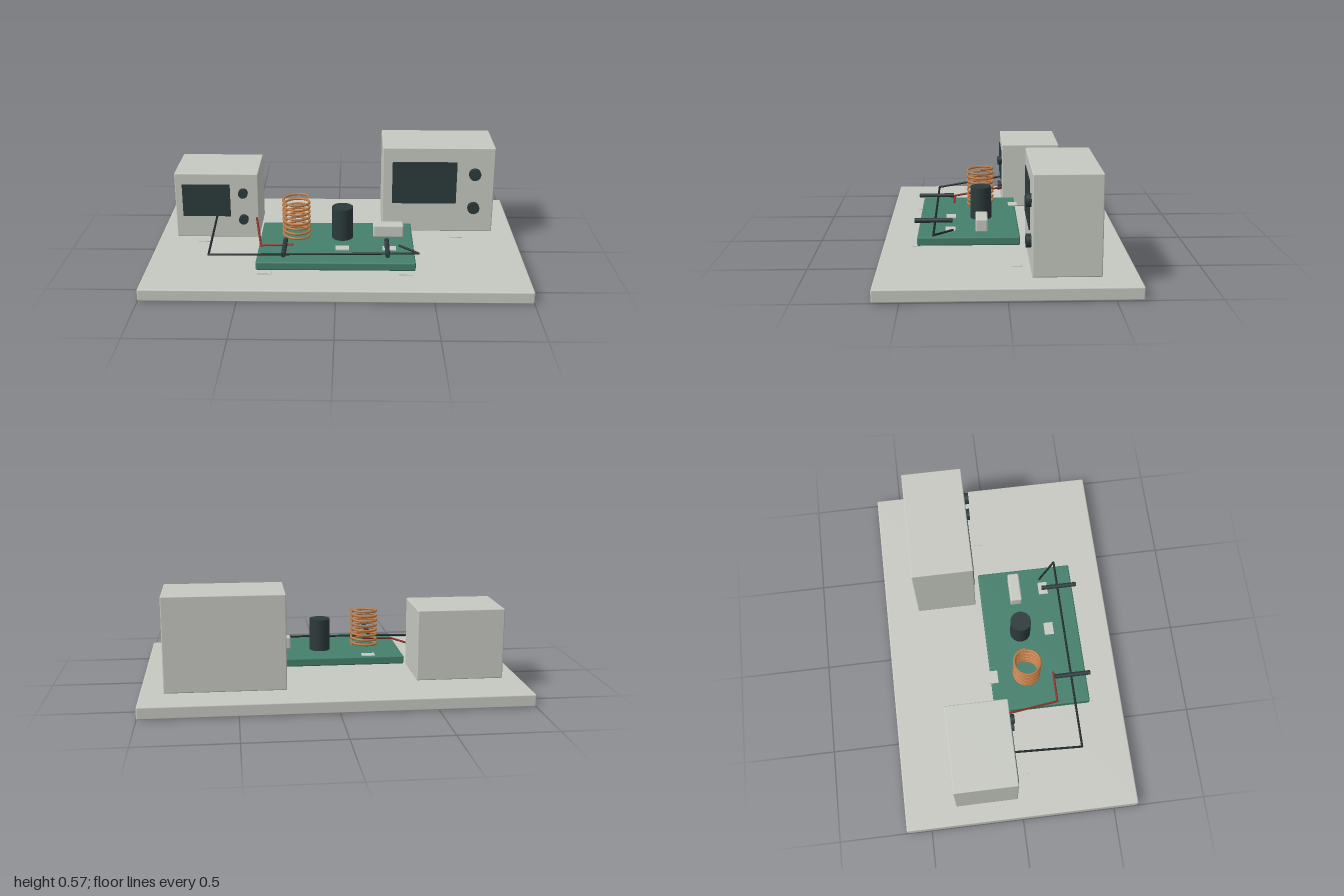
import * as THREE from 'three';
import { RoundedBoxGeometry } from 'three/addons/geometries/RoundedBoxGeometry.js';

const mat = (name, color) => {
  const m = new THREE.MeshStandardMaterial({ color });
  m.name = name;
  return m;
};

export function createModel() {
  const root = new THREE.Group();
  root.name = 'electronicsBench';
  const grey = mat('light grey', 0xc6c8c1);
  const dark = mat('dark slate', 0x2c3a3b);
  const green = mat('board green', 0x447f6c);
  const copper = mat('copper', 0xbd7a45);
  const red = mat('red', 0x8e3029);
  const black = mat('black', 0x222a2a);

  const add = (name, geometry, material, parent = root) => {
    const mesh = new THREE.Mesh(geometry, material);
    mesh.name = name;
    parent.add(mesh);
    return mesh;
  };
  // Rounded block given by its limits on each axis
  const block = (name, [x0, x1], [y0, y1], [z0, z1], r, material, parent) => {
    const g = new RoundedBoxGeometry(x1 - x0, y1 - y0, z1 - z0, 2, r);
    g.translate((x0 + x1) / 2, (y0 + y1) / 2, (z0 + z1) / 2);
    return add(name, g, material, parent);
  };
  // Cylinder lying along z
  const rod = (name, x, y, z0, z1, r, material, parent) => {
    const g = new THREE.CylinderGeometry(r, r, z1 - z0, 24).rotateX(Math.PI / 2);
    return add(name, g.translate(x, y, (z0 + z1) / 2), material, parent);
  };

  block('basePlate', [-1, 1], [0, 0.066], [-0.633, 0.63], 0.008, grey);

  // Instruments: case, screen and two knobs
  const instrument = (name, xs, ys, zs, sx, sy, knobX, knobYs, knobR) => {
    const group = new THREE.Group();
    group.name = name;
    root.add(group);
    block('case', xs, ys, zs, 0.006, grey, group);
    const screen = new THREE.BoxGeometry(sx[1] - sx[0], sy[1] - sy[0], 0.006);
    screen.translate((sx[0] + sx[1]) / 2, (sy[0] + sy[1]) / 2, zs[1] + 0.002);
    add('screen', screen, dark, group);
    for (const y of knobYs) rod('knob', knobX, y, zs[1] - 0.002, zs[1] + 0.026, knobR, dark, group);
  };
  instrument('smallInstrument', [-0.9, -0.438], [0.073, 0.45], [-0.355, -0.018],
    [-0.86, -0.595], [0.2, 0.387], -0.522, [0.34, 0.185], 0.026);
  instrument('largeInstrument', [0.252, 0.876], [0.073, 0.572], [-0.45, -0.117],
    [0.306, 0.666], [0.245, 0.49], 0.765, [0.422, 0.222], 0.033);

  // Circuit board and its components
  block('circuitBoard', [-0.417, 0.412], [0.09, 0.136], [-0.084, 0.447], 0.008, green);
  add('capacitor', new THREE.CylinderGeometry(0.057, 0.057, 0.177, 32).translate(0.03, 0.225, 0.114), dark);
  block('connector', [0.196, 0.362], [0.145, 0.217], [0.081, 0.156 - 0.01], 0.01, grey);

  // Coil winding
  const turns = 8, coilPoints = [];
  for (let i = 0; i <= turns * 16; i++) {
    const a = (i / 16) * Math.PI * 2;
    coilPoints.push(new THREE.Vector3(
      -0.22 + 0.071 * Math.cos(a), 0.148 + (0.217 * i) / (turns * 16), 0.116 + 0.071 * Math.sin(a)));
  }
  add('coil', new THREE.TubeGeometry(new THREE.CatmullRomCurve3(coilPoints), 320, 0.0065, 8), copper);

  // Probe handles
  for (const x of [-0.27, 0.265]) rod('probe', x, 0.186, 0.268, 0.466, 0.0125, dark);

  // Cables with sharp corners
  const cable = (name, points, r, material) => {
    const group = new THREE.Group();
    group.name = name;
    root.add(group);
    const v = points.map((p) => new THREE.Vector3(...p));
    for (let i = 0; i < v.length - 1; i++) {
      add('cableRun', new THREE.TubeGeometry(new THREE.LineCurve3(v[i], v[i + 1]), 1, r, 8), material, group);
    }
    for (const p of v) add('cableJoint', new THREE.SphereGeometry(r, 8, 6).translate(p.x, p.y, p.z), material, group);
  };
  cable('blackCable', [[-0.67, 0.205, -0.016], [-0.67, 0.139, 0.364], [0.43, 0.153, 0.362], [0.335, 0.153, 0.265]], 0.006, black);
  cable('redCable', [[-0.45, 0.19, -0.016], [-0.403, 0.15, 0.265], [-0.236, 0.155, 0.265]], 0.006, red);

  // Small blank marker plates
  const markers = [
    [-0.735, 0.083, 0.045], [0.665, 0.073, -0.055], [-0.22, 0.145, -0.07], [0.03, 0.143, 0.278],
    [0.28, 0.143, 0.278], [-0.37, 0.083, 0.45], [0.362, 0.083, 0.45],
  ];
  for (const [x, y, z] of markers) {
    add('markerPlate', new THREE.BoxGeometry(0.072, 0.004, 0.052).translate(x, y, z), grey);
  }
  return root;
}
